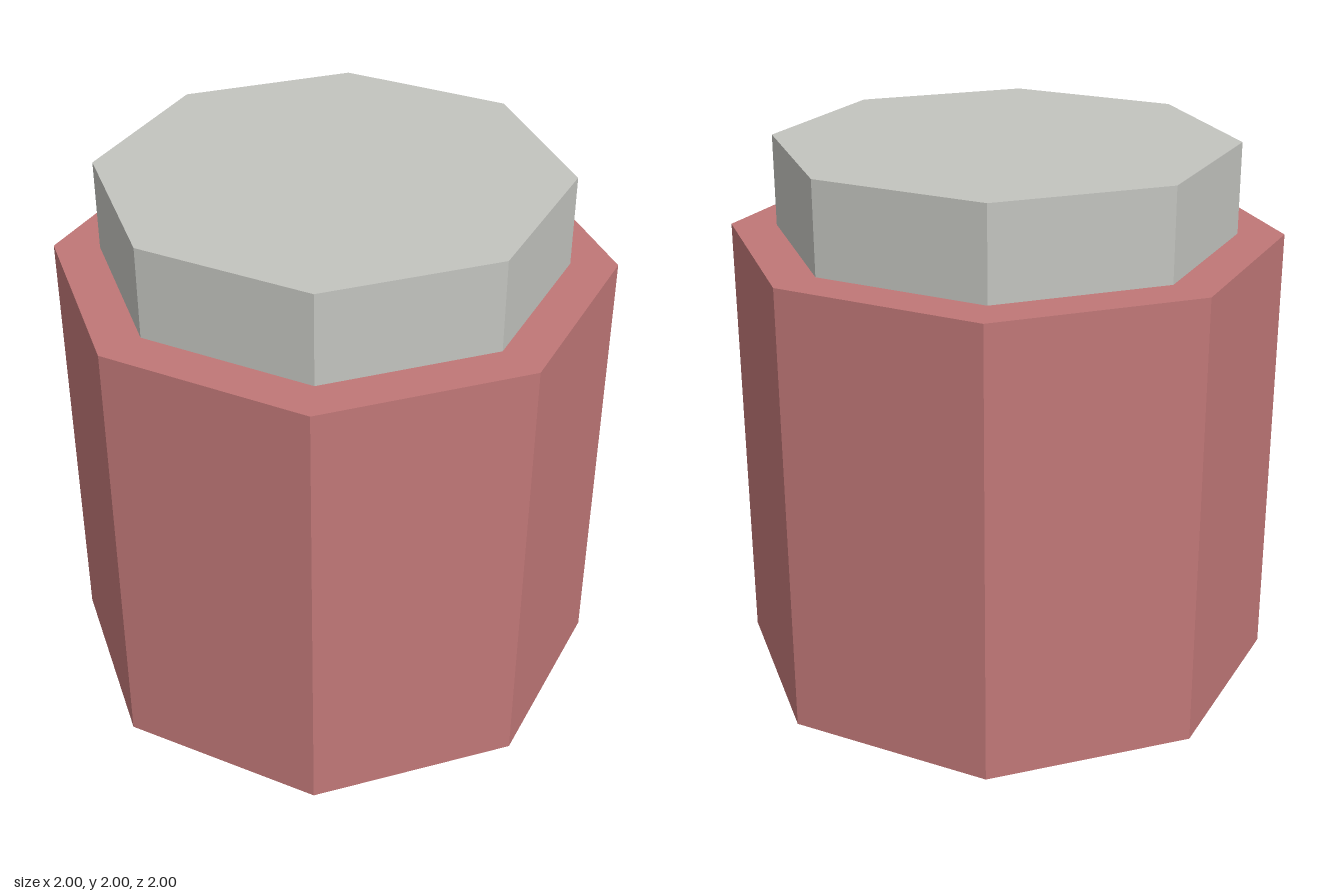
import * as THREE from 'three';

const SIDES = 8;

// Upright octagonal prism with a corner facing the front
function prism(name, radius, bottom, top, material) {
  const geometry = new THREE.CylinderGeometry(radius, radius, top - bottom, SIDES);
  geometry.translate(0, (bottom + top) / 2, 0);
  const mesh = new THREE.Mesh(geometry.toNonIndexed(), material);
  mesh.geometry.computeVertexNormals(); // flat facets
  mesh.name = name;
  return mesh;
}

export function createModel() {
  const red = new THREE.MeshStandardMaterial({ color: 0xc07777, flatShading: true });
  red.name = 'dusty red';
  const grey = new THREE.MeshStandardMaterial({ color: 0xc3c4bf, flatShading: true });
  grey.name = 'light grey';

  const model = new THREE.Group();
  model.name = 'cappedJar';
  model.add(
    prism('body', 1, 0, 1.667, red),
    prism('cap', 0.833, 1.667, 2, grey),
  );
  return model;
}
